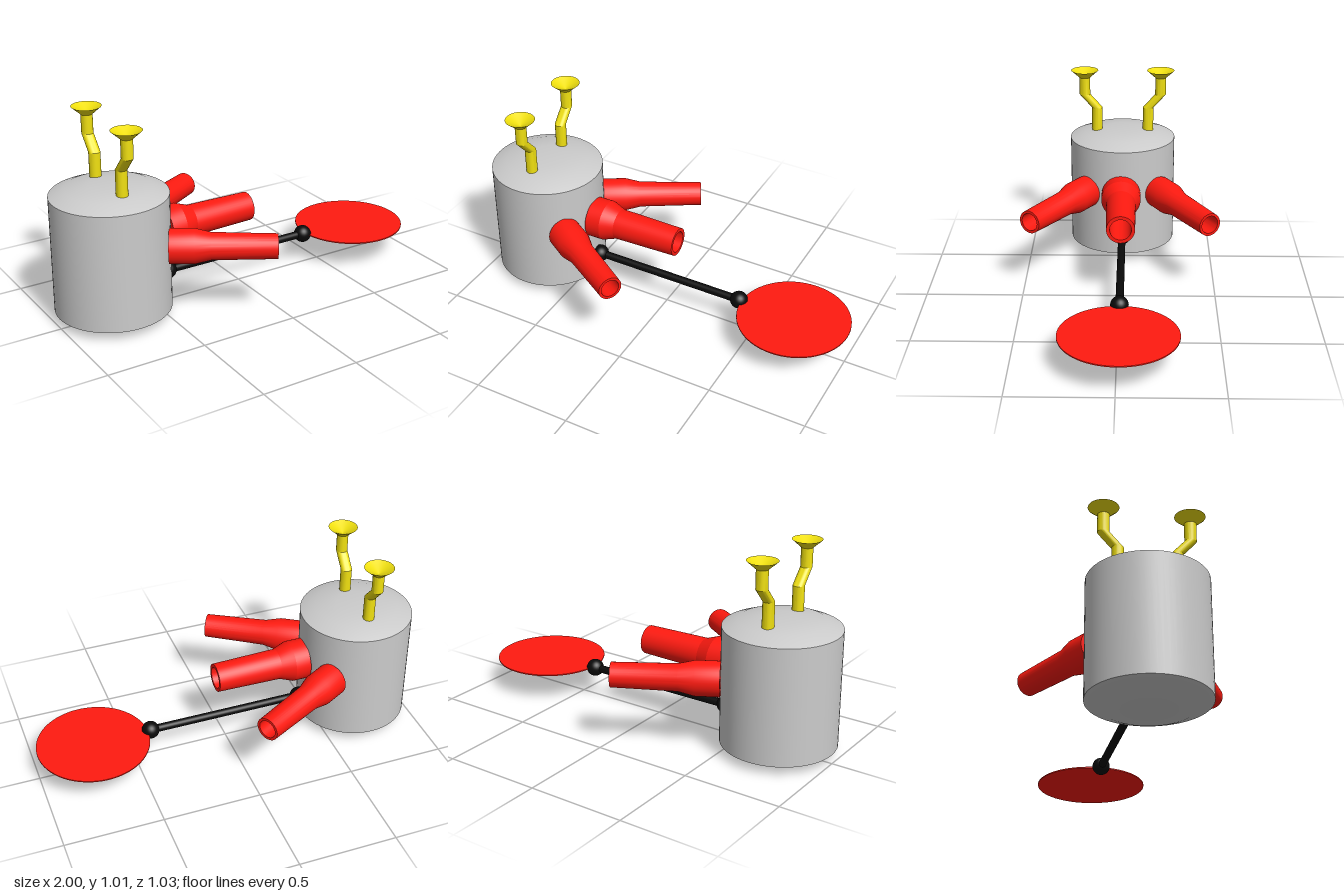
import * as THREE from 'three';
import { toCreasedNormals, mergeGeometries } from 'three/addons/utils/BufferGeometryUtils.js';

const material = (color) => new THREE.MeshStandardMaterial({ color, side: THREE.DoubleSide });
const grey = material(0xcccccc), red = material(0xff1a10), yellow = material(0xf0e010), black = material(0x0a0a0a);

const BODY_X = -0.713, MID_Z = -0.01, RADIUS = 0.287;

// Solid of revolution from [radius, height] pairs, with sharp corners kept
function lathe(points, segments = 48, crease = 0.6) {
  const g = new THREE.LatheGeometry(points.map(([r, y]) => new THREE.Vector2(r, y)), segments);
  return toCreasedNormals(g, crease);
}

function add(group, name, geometry, mat, x = 0, y = 0, z = 0) {
  const mesh = new THREE.Mesh(geometry, mat);
  mesh.name = name;
  mesh.position.set(x, y, z);
  group.add(mesh);
  return mesh;
}

// Stem with two bends: rings of a horizontal circle stacked along y, shifted in z
function stemGeometry(side) {
  const stations = [[0.66, 0.14], [0.8, 0.14], [0.875, 0.207], [0.975, 0.207]];
  const pieces = [];
  for (let i = 0; i < 3; i++) {
    const [y0, z0] = stations[i], [y1, z1] = stations[i + 1];
    const g = new THREE.CylinderGeometry(0.029, 0.029, y1 - y0, 24, 1, true);
    const p = g.attributes.position;
    for (let k = 0; k < p.count; k++) {
      const t = p.getY(k) / (y1 - y0) + 0.5;
      p.setZ(k, p.getZ(k) + side * (z0 + (z1 - z0) * t));
    }
    g.translate(0, (y0 + y1) / 2, 0);
    g.computeVertexNormals();
    pieces.push(g);
  }
  return toCreasedNormals(mergeGeometries(pieces), 0.4);
}

// Hollow nozzle with a wide collar, running from start towards end
function nozzle(group, name, start, end, collar, tip, bore, taperFrom, taperTo) {
  const from = new THREE.Vector3(...start), dir = new THREE.Vector3(...end).sub(from);
  const len = dir.length();
  const geometry = lathe([
    [bore, 0], [collar, 0], [collar, taperFrom], [tip + 0.006, taperTo],
    [tip, len], [bore, len], [bore, 0],
  ], 40, 0.3);
  const mesh = add(group, name, geometry, red, ...start);
  mesh.quaternion.setFromUnitVectors(new THREE.Vector3(0, 1, 0), dir.normalize());
}

export function createModel() {
  const model = new THREE.Group();
  model.name = 'canisterWithNozzles';

  // Canister with bevelled ends
  add(model, 'body', lathe([
    [0, 0], [0.1, 0.003], [0.21, 0.017], [RADIUS, 0.047],
    [RADIUS, 0.635], [0.21, 0.667], [0.1, 0.68], [0, 0.68],
  ], 64, 0.5), grey, BODY_X, 0, MID_Z);

  // Pair of bent antennae with hollow funnel tops
  for (const side of [1, -1]) {
    const antenna = new THREE.Group();
    antenna.name = side > 0 ? 'frontAntenna' : 'backAntenna';
    antenna.position.set(BODY_X, 0, MID_Z);
    add(antenna, 'stem', stemGeometry(side), yellow);
    add(antenna, 'funnel', lathe([[0.029, 0.97], [0.074, 1.01], [0, 0.972]], 32),
      yellow, 0, 0, side * 0.207);
    model.add(antenna);
  }

  // Three nozzles fanning out from the canister
  nozzle(model, 'middleNozzle', [-0.43, 0.395, -0.005], [0.057, 0.397, -0.01], 0.105, 0.073, 0.055, 0.08, 0.15);
  nozzle(model, 'frontNozzle', [-0.502, 0.385, 0.183], [-0.065, 0.385, 0.46], 0.086, 0.061, 0.047, 0.12, 0.2);
  nozzle(model, 'backNozzle', [-0.502, 0.385, -0.21], [-0.045, 0.385, -0.465], 0.086, 0.061, 0.047, 0.12, 0.2);

  // Arm with ball joints
  const arm = add(model, 'armRod', new THREE.CylinderGeometry(0.02, 0.02, 0.82, 24), black, 0, 0.157, MID_Z);
  arm.rotation.z = Math.PI / 2;
  for (const x of [-0.41, 0.41]) {
    add(model, x < 0 ? 'innerBallJoint' : 'outerBallJoint',
      new THREE.SphereGeometry(0.045, 32, 20), black, x, 0.157, MID_Z);
  }

  // Thin disc at the end of the arm
  add(model, 'disc', new THREE.CylinderGeometry(RADIUS, RADIUS, 0.006, 64), red, 0.713, 0.156, MID_Z);

  return model;
}
